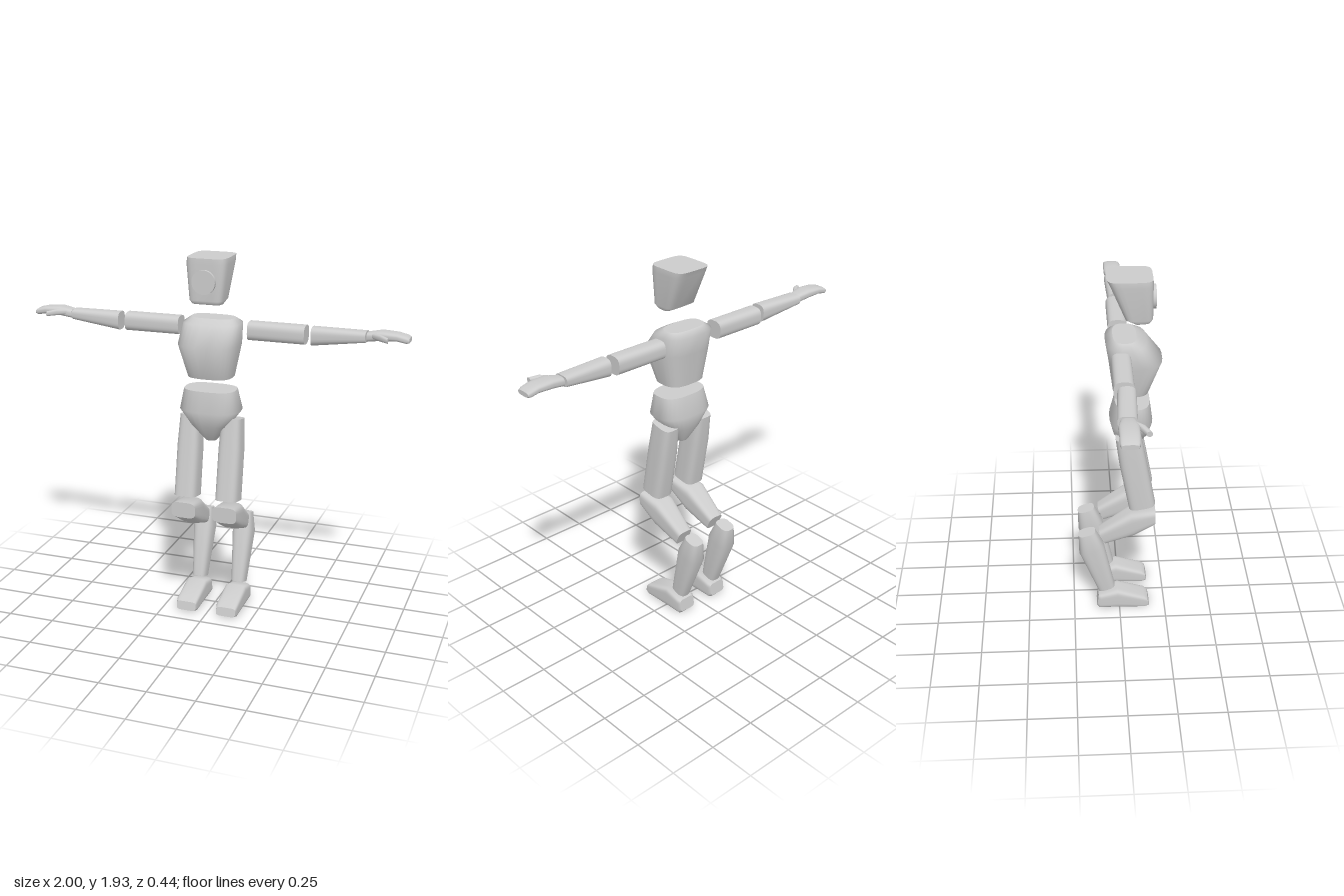
import * as THREE from 'three';

const V = (x, y, z) => new THREE.Vector3(x, y, z);
const material = new THREE.MeshStandardMaterial({ color: 0xcccccc });
const RING = 28;

// Closed loft through rings { c: centre, u, v: half axes }; p sets how square the rings are.
function loft(name, rings, p = 3) {
  const along = rings[rings.length - 1].c.clone().sub(rings[0].c);
  const flip = rings[0].u.clone().cross(rings[0].v).dot(along) < 0 ? -1 : 1;
  const power = (t) => Math.sign(t) * Math.abs(t) ** (2 / p);
  const pos = [], idx = [];
  const addRing = ({ c, u, v }) => {
    const start = pos.length / 3;
    for (let j = 0; j < RING; j++) {
      const a = ((j + 0.5) / RING) * Math.PI * 2;
      const q = c.clone().addScaledVector(u, power(Math.cos(a))).addScaledVector(v, flip * power(Math.sin(a)));
      pos.push(q.x, q.y, q.z);
    }
    return start;
  };
  // smooth side wall
  const starts = rings.map(addRing);
  for (let i = 0; i + 1 < starts.length; i++) {
    for (let j = 0; j < RING; j++) {
      const k = (j + 1) % RING, a = starts[i], b = starts[i + 1];
      idx.push(a + j, a + k, b + k, a + j, b + k, b + j);
    }
  }
  // flat end caps with their own vertices
  [[rings[0], true], [rings[rings.length - 1], false]].forEach(([ring, first]) => {
    const s = addRing(ring);
    for (let j = 1; j + 1 < RING; j++) {
      if (first) idx.push(s, s + j + 1, s + j);
      else idx.push(s, s + j, s + j + 1);
    }
  });
  const geo = new THREE.BufferGeometry();
  geo.setAttribute('position', new THREE.Float32BufferAttribute(pos, 3));
  geo.setIndex(idx);
  geo.computeVertexNormals();
  const mesh = new THREE.Mesh(geo, material);
  mesh.name = name;
  return mesh;
}

// Ring spanning two points of the side profile: z1, y1 to z2, y2, with a half width in x.
const profileRing = (x) => ([z1, y1, z2, y2, halfWidth]) => ({
  c: V(x, (y1 + y2) / 2, (z1 + z2) / 2),
  u: V(halfWidth, 0, 0),
  v: V(0, (y1 - y2) / 2, (z1 - z2) / 2),
});

// Ring across an arm: x, lower y, upper y, back z, front z.
const armRing = (side) => ([x, y1, y2, z1, z2]) => ({
  c: V(side * x, (y1 + y2) / 2, (z1 + z2) / 2),
  u: V(0, (y2 - y1) / 2, 0),
  v: V(0, 0, (z2 - z1) / 2),
});

function makeArm(side) {
  const arm = new THREE.Group();
  const ring = armRing(side);
  arm.add(
    loft('upperArm', [[0.185, 1.505, 1.6, -0.045, 0.055], [0.48, 1.505, 1.6, -0.045, 0.055]].map(ring), 3),
    loft('forearm', [[0.515, 1.505, 1.6, -0.03, 0.06], [0.785, 1.54, 1.595, -0.042, 0.05]].map(ring), 3),
    loft('hand', [
      [0.79, 1.545, 1.592, -0.03, 0.042],
      [0.86, 1.557, 1.605, -0.042, 0.055],
      [0.94, 1.56, 1.6, -0.04, 0.053],
      [0.985, 1.552, 1.589, -0.04, 0.05],
      [0.999, 1.556, 1.58, -0.034, 0.044],
    ].map(ring), 3),
    loft('thumb', [
      [0.81, 1.565, 1.592, 0.0, 0.04],
      [0.86, 1.565, 1.597, 0.05, 0.082],
      [0.905, 1.562, 1.588, 0.08, 0.107],
    ].map(ring), 2.5),
  );
  return arm;
}

function makeLeg(side) {
  const leg = new THREE.Group();
  const ring = profileRing(side * 0.113);
  leg.add(
    loft('thigh', [
      [0.11, 1.105, -0.02, 1.08, 0.052],
      [0.14, 0.95, 0.0, 0.925, 0.06],
      [0.19, 0.68, 0.05, 0.655, 0.061],
    ].map(ring), 3.5),
    loft('knee', [
      [0.19, 0.645, 0.19, 0.56, 0.066],
      [0.06, 0.63, 0.08, 0.49, 0.067],
      [-0.11, 0.51, -0.075, 0.43, 0.045],
    ].map(ring), 4),
    loft('shin', [
      [-0.13, 0.5, -0.22, 0.475, 0.04],
      [-0.085, 0.41, -0.218, 0.365, 0.056],
      [-0.025, 0.13, -0.115, 0.1, 0.038],
    ].map(ring), 3),
    loft('foot', [
      [0.155, 0.055, 0.165, 0.008, 0.054],
      [0.135, 0.07, 0.14, 0, 0.06],
      [-0.01, 0.117, -0.01, 0, 0.06],
      [-0.1, 0.09, -0.11, 0, 0.057],
      [-0.115, 0.084, -0.125, 0.015, 0.048],
    ].map(ring), 5),
  );
  return leg;
}

export function createModel() {
  const model = new THREE.Group();
  model.name = 'figure';
  const ring = profileRing(0);

  // head, with a sloping back
  const head = new THREE.Group();
  head.name = 'head';
  head.add(loft('skull', [
    [0.155, 1.7, 0.075, 1.695, 0.074],
    [0.17, 1.72, 0.03, 1.72, 0.088],
    [0.17, 1.9, -0.045, 1.9, 0.107],
    [0.168, 1.93, -0.06, 1.93, 0.105],
  ].map(ring), 5));
  const disc = new THREE.Mesh(new THREE.CylinderGeometry(0.061, 0.061, 0.03, 32), material);
  disc.name = 'faceDisc';
  disc.rotation.x = Math.PI / 2;
  disc.position.set(0, 1.815, 0.17);
  head.add(disc);

  // trunk
  const chest = loft('chest', [
    [0.155, 1.315, -0.03, 1.315, 0.117],
    [0.22, 1.49, -0.052, 1.49, 0.156],
    [0.14, 1.59, -0.068, 1.59, 0.15],
    [0.09, 1.615, -0.03, 1.615, 0.115],
  ].map(ring), 2.9);
  const pelvis = loft('pelvis', [
    [0.09, 0.97, 0.02, 0.97, 0.03],
    [0.155, 1.06, -0.028, 1.06, 0.1],
    [0.175, 1.14, -0.047, 1.14, 0.16],
    [0.16, 1.25, -0.02, 1.25, 0.137],
  ].map(ring), 2.8);
  model.add(head, chest, pelvis);

  // limbs
  for (const [label, side] of [['left', 1], ['right', -1]]) {
    const arm = makeArm(side);
    arm.name = label + 'Arm';
    const leg = makeLeg(side);
    leg.name = label + 'Leg';
    model.add(arm, leg);
  }
  return model;
}
